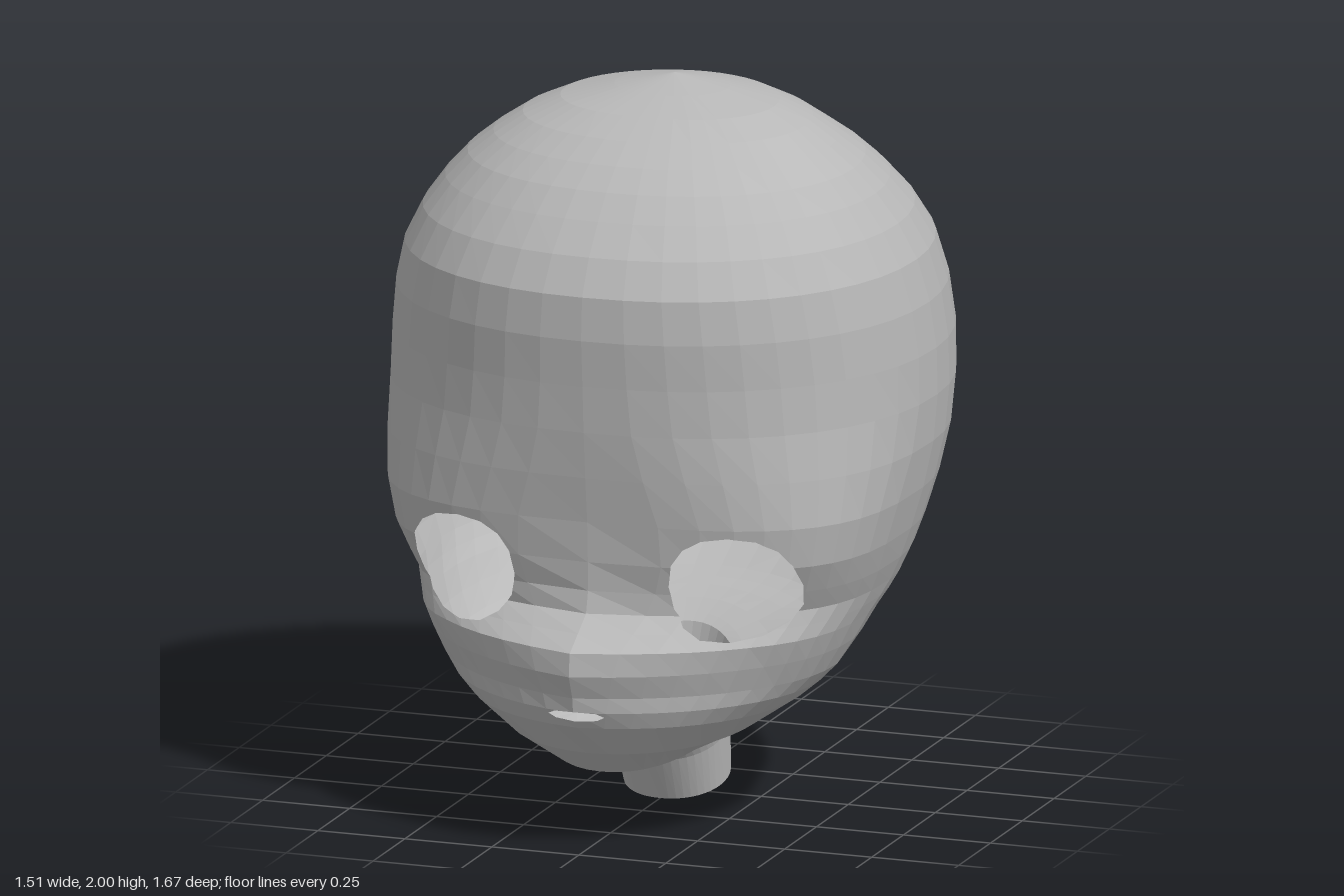
import * as THREE from 'three';

// Key cross-sections from crown to neck: [front y, front z, half width, back y, back z]
const KEYS = [
  [2, 0, 0, 2, 0],
  [1.94, 0.27, 0.3, 1.94, -0.25],
  [1.85, 0.46, 0.47, 1.85, -0.41],
  [1.73, 0.6, 0.6, 1.73, -0.59],
  [1.55, 0.725, 0.71, 1.55, -0.775],
  [1.3, 0.722, 0.755, 1.3, -0.838],
  [1.04, 0.7, 0.747, 1.04, -0.81],
  [0.8, 0.66, 0.695, 0.81, -0.69],
  [0.66, 0.615, 0.645, 0.67, -0.585],
  [0.58, 0.71, 0.61, 0.61, -0.52],
  [0.45, 0.7, 0.545, 0.53, -0.37],
  [0.36, 0.71, 0.45, 0.5, -0.28],
  [0.19, 0.57, 0.25, 0.45, -0.18],
  [0.215, 0.25, 0.175, 0.38, -0.135],
  [0, 0.11, 0.145, 0.085, -0.165],
];
const SEGMENTS = 44;
const RINGS = (KEYS.length - 1) * 2;
const NECK_START = RINGS - 2;

const spline = (points) => new THREE.CatmullRomCurve3(points, false, 'catmullrom');
const frontCurve = spline(KEYS.map(([y, z, w]) => new THREE.Vector3(w, y, z)));
const backCurve = spline(KEYS.map(([, , w, y, z]) => new THREE.Vector3(w, y, z)));

const bell = (y, centre, width) => Math.exp(-(((y - centre) / width) ** 2));
const power = (v, p) => Math.sign(v) * Math.abs(v) ** p;

// Point j on loop i: a squarish curve through the front, side and back points
function ringPoint(i, j) {
  const front = frontCurve.getPoint(i / RINGS);
  const back = backCurve.getPoint(i / RINGS);
  const w = front.x;
  const angle = (j / SEGMENTS) * Math.PI * 2;
  const c = Math.cos(angle), s = Math.sin(angle);

  // The widest point sits slightly forward on the head and halfway on the neck
  const sideZ = (front.z + back.z) / 2 + 0.08 * w * THREE.MathUtils.smoothstep(back.y, 0.4, 0.5);
  const tilt = 0.45 * (1 - THREE.MathUtils.smoothstep(w, 0.17, 0.45));
  const sideY = THREE.MathUtils.lerp(front.y, back.y, tilt);

  // The face is flatter around the eyes and has a pointed snout below them
  const n = c >= 0 ? 2.15 + 1.05 * bell(front.y, 0.82, 0.23) : 1.95;
  const x = w * power(s, 2 / n);
  const k = Math.abs(c) ** (2 / n);
  const end = c >= 0 ? front : back;
  const snout = c >= 0 ? 0.12 * bell(front.y, 0.53, 0.2) * Math.max(0, 1 - Math.abs(x) / 0.45) ** 1.1 : 0;
  return new THREE.Vector3(
    x,
    THREE.MathUtils.lerp(sideY, end.y, k),
    THREE.MathUtils.lerp(sideZ, end.z, k) + snout,
  );
}

// Rounded opening seen from the front, corners clockwise
function opening(cx, cy, rx, ry, count) {
  return Array.from({ length: count }, (_, i) => {
    const a = (-i / count) * Math.PI * 2;
    return [cx + rx * power(Math.cos(a), 0.88), cy + ry * power(Math.sin(a), 0.88)];
  });
}
const HOLES = [
  opening(0.388, 0.743, 0.167, 0.147, 16),
  opening(-0.388, 0.743, 0.167, 0.147, 16),
  opening(0, 0.395, 0.08, 0.015, 8),
];

// Splits a polygon by the line p-q into its left and right pieces
function split(poly, p, q) {
  const side = (v) => (q[0] - p[0]) * (v.y - p[1]) - (q[1] - p[1]) * (v.x - p[0]);
  const left = [], right = [];
  poly.forEach((v, i) => {
    const u = poly[(i + 1) % poly.length];
    const a = side(v), b = side(u);
    (a > 0 ? left : right).push(v);
    if (a > 0 !== b > 0) {
      const m = v.clone().lerp(u, a / (a - b));
      left.push(m);
      right.push(m);
    }
  });
  return [left, right];
}

// Returns what is left of a polygon after cutting a convex hole
function cut(poly, hole) {
  const kept = [];
  let rest = poly;
  for (let i = 0; i < hole.length && rest.length > 2; i++) {
    const [outside, inside] = split(rest, hole[i], hole[(i + 1) % hole.length]);
    if (outside.length > 2) kept.push(outside);
    rest = inside;
  }
  return rest.length > 2 ? kept : [poly];
}

// Skin between two loops, with the openings cut out of the face
function skin(from, to) {
  const positions = [];
  for (let i = from; i < to; i++) {
    for (let j = 0; j < SEGMENTS; j++) {
      const a = ringPoint(i, j), b = ringPoint(i, j + 1);
      const d = ringPoint(i + 1, j), c = ringPoint(i + 1, j + 1);
      let polys = i === 0 ? [[a, d, c]] : [[a, d, c], [a, c, b]];
      if (Math.min(a.z, b.z, c.z, d.z) > 0.25) {
        for (const hole of HOLES) polys = polys.flatMap((p) => cut(p, hole));
      }
      for (const p of polys) {
        for (let k = 1; k < p.length - 1; k++) {
          for (const v of [p[0], p[k], p[k + 1]]) positions.push(v.x, v.y, v.z);
        }
      }
    }
  }
  const geometry = new THREE.BufferGeometry();
  geometry.setAttribute('position', new THREE.Float32BufferAttribute(positions, 3));
  geometry.computeVertexNormals();
  return geometry;
}

export function createModel() {
  const grey = new THREE.MeshStandardMaterial({ color: 0xb8b8b8, flatShading: true, side: THREE.DoubleSide });
  grey.name = 'grey';
  const group = new THREE.Group();
  group.name = 'headModel';
  const add = (name, geometry) => {
    const mesh = new THREE.Mesh(geometry, grey);
    mesh.name = name;
    group.add(mesh);
  };
  add('head', skin(0, NECK_START));
  add('neck', skin(NECK_START, RINGS));
  return group;
}
